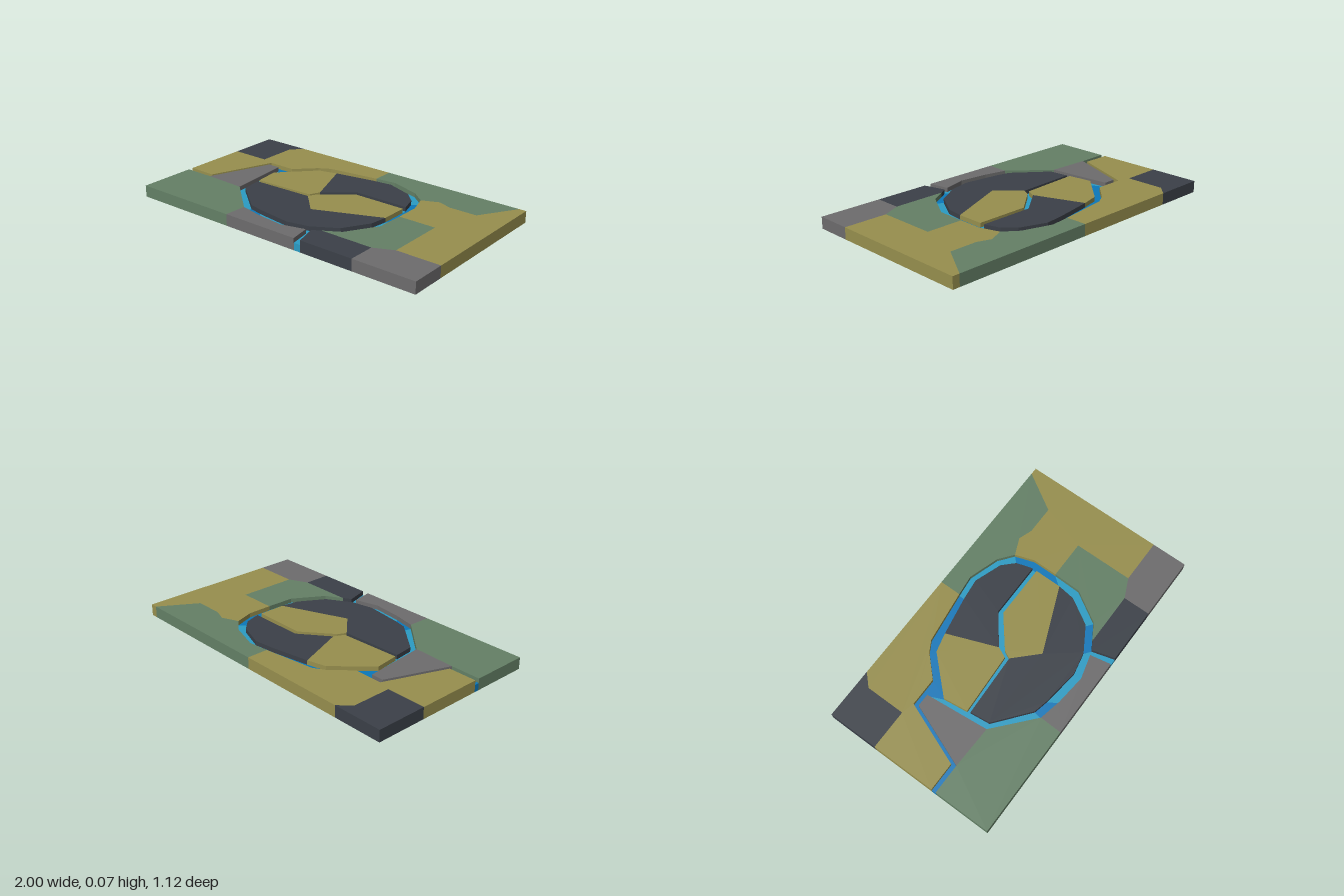
import * as THREE from 'three';

const LAND = 0.073, WATER = 0.045;

const mat = (name, color) => {
  const m = new THREE.MeshStandardMaterial({ color });
  m.name = name;
  return m;
};

// Upright slab from a flat outline of [x, z] corners
function slab(name, material, height, points) {
  const shape = new THREE.Shape(points.map(([x, z]) => new THREE.Vector2(x, -z)));
  const geo = new THREE.ExtrudeGeometry(shape, { depth: height, bevelEnabled: false });
  geo.rotateX(-Math.PI / 2);
  const mesh = new THREE.Mesh(geo, material);
  mesh.name = name;
  return mesh;
}

export function createModel() {
  const olive = mat('olive', 0x978f4e), green = mat('green', 0x648066);
  const grey = mat('grey', 0x6d6c6d), dark = mat('charcoal', 0x3b4048);
  const deep = mat('deep blue', 0x0b78ba), light = mat('light blue', 0x2b9cc4);
  const model = new THREE.Group();
  model.name = 'terrainTile';

  // Land around the moat
  const land = new THREE.Group();
  land.name = 'outerLand';
  model.add(land);
  [
    ['northWestCorner', dark, [[-1, -.56], [-.68, -.56], [-.75, -.49], [-.75, -.24], [-1, -.24]]],
    ['northWestField', olive, [[-.68, -.56], [.03, -.56], [.03, -.425], [-.3, -.38], [-.37, -.34],
      [-.49, -.22], [-.67, -.22], [-.82, .17], [-1, .17], [-1, -.24], [-.75, -.24], [-.75, -.49]]],
    ['northEastField', green, [[.03, -.56], [.955, -.56], [.81, -.325], [.63, -.325], [.545, -.355],
      [.44, -.31], [.35, -.38], [.16, -.44], [.03, -.425]]],
    ['eastField', olive, [[.955, -.56], [1, -.56], [1, .335], [.72, .335], [.72, -.035], [.48, -.035],
      [.48, -.19], [.44, -.31], [.545, -.355], [.63, -.325], [.81, -.325]]],
    ['eastBank', green, [[.48, -.035], [.72, -.035], [.72, .335], [.6, .39], [.26, .39], [.36, .33], [.475, .14]]],
    ['southEastCorner', grey, [[.72, .335], [1, .335], [1, .56], [.6, .56], [.6, .39]]],
    ['southBank', dark, [[.26, .39], [.6, .39], [.6, .56], [.25, .56], [.21, .42]]],
    ['southField', grey, [[-.3, .42], [-.16, .45], [.03, .47], [.18, .43], [.205, .56], [-.305, .56]]],
    ['southWestField', green, [[-1, .2], [-.81, .2], [-.54, .21], [-.3, .42], [-.305, .56], [-1, .56]]],
    ['westBank', grey, [[-.66, -.19], [-.58, -.19], [-.54, .21], [-.81, .2]]],
  ].forEach(([name, m, pts]) => land.add(slab(name, m, LAND, pts)));

  // Two islands, each in two colours
  const islands = new THREE.Group();
  islands.name = 'islands';
  model.add(islands);
  [
    ['northIslandWest', olive, [[-.54, -.1], [-.34, -.31], [-.22, -.34], [-.1, -.03], [-.13, .035], [-.52, .055]]],
    ['northIslandEast', dark, [[-.22, -.34], [.03, -.385], [.16, -.4], [.33, -.34], [.4, -.27], [.43, -.17],
      [.08, -.17], [-.1, -.03]]],
    ['southIslandNorth', olive, [[-.12, .06], [-.095, .01], [.09, -.14], [.43, -.14], [.43, .03], [.02, .2]]],
    ['southIslandSouth', dark, [[-.515, .075], [-.12, .06], [.02, .2], [.43, .03], [.415, .14], [.32, .3],
      [.17, .39], [.03, .42], [-.2, .39], [-.29, .37], [-.5, .2]]],
  ].forEach(([name, m, pts]) => islands.add(slab(name, m, LAND, pts)));

  // Moat: paired outer and inner bank points, with the colour of the stretch that follows
  const water = new THREE.Group();
  water.name = 'water';
  model.add(water);
  const ring = [
    [-.58, -.19, -.54, -.1, deep], [-.49, -.22, -.53, -.11, deep], [-.37, -.34, -.34, -.31, deep],
    [-.3, -.38, -.22, -.34, deep], [.03, -.425, .03, -.385, light], [.16, -.44, .16, -.4, light],
    [.35, -.38, .33, -.34, light], [.44, -.31, .4, -.27, deep], [.48, -.19, .43, -.17, deep],
    [.48, -.035, .43, .03, light], [.475, .14, .415, .14, light], [.36, .33, .32, .3, deep],
    [.21, .42, .17, .39, light], [.18, .43, .15, .395, light], [.03, .47, .03, .42, light],
    [-.16, .45, -.2, .39, deep], [-.3, .42, -.29, .37, light], [-.54, .21, -.5, .2, light],
    [-.557, .04, -.515, .075, light], [-.56, .02, -.52, .055, light],
  ];
  ring.forEach(([ax, az, bx, bz, m], i) => {
    const [cx, cz, dx, dz] = ring[(i + 1) % ring.length];
    water.add(slab('moat' + (i + 1), m, WATER, [[ax, az], [cx, cz], [dx, dz], [bx, bz]]));
  });

  // Streams joining the moat
  [
    ['westStream', deep, [[-1, .17], [-.82, .17], [-.67, -.22], [-.49, -.22], [-.58, -.19], [-.66, -.19],
      [-.81, .2], [-1, .2]]],
    ['southStream', light, [[.18, .43], [.21, .42], [.25, .56], [.205, .56]]],
    ['middleStream', light, [[-.52, .055], [-.13, .035], [-.1, -.03], [.08, -.17], [.43, -.17], [.43, -.14],
      [.09, -.14], [-.095, .01], [-.12, .06], [-.515, .075]]],
  ].forEach(([name, m, pts]) => water.add(slab(name, m, WATER, pts)));

  return model;
}
